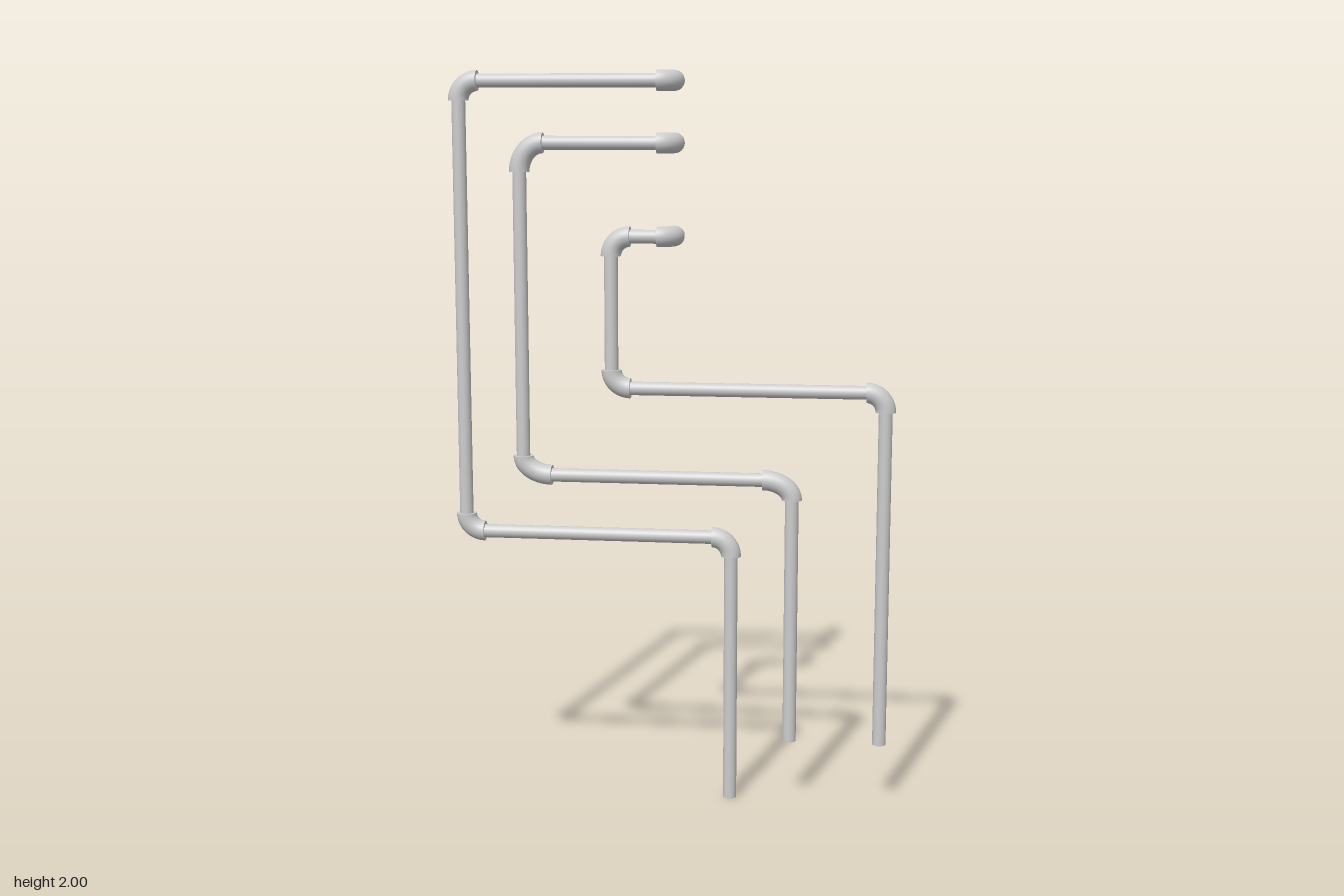
import * as THREE from 'three';

const PIPE_R = 0.0185, ELBOW_R = 0.0275, Z = 0.04, BACK = -0.072;
const material = new THREE.MeshStandardMaterial({ color: 0xcccccc });

function addMesh(group, geometry, name) {
  const mesh = new THREE.Mesh(geometry, material);
  mesh.name = name;
  group.add(mesh);
  return mesh;
}

// Straight capped pipe between two points
function addPipe(group, a, b) {
  const dir = b.clone().sub(a);
  const mesh = addMesh(group, new THREE.CylinderGeometry(PIPE_R, PIPE_R, dir.length(), 24), 'pipe');
  mesh.position.copy(a).add(b).multiplyScalar(0.5);
  mesh.quaternion.setFromUnitVectors(new THREE.Vector3(0, 1, 0), dir.normalize());
}

// Flat end of an elbow socket, facing along dir
function addCap(group, point, dir) {
  const cap = addMesh(group, new THREE.CircleGeometry(ELBOW_R, 24), 'elbowEnd');
  cap.position.copy(point);
  cap.quaternion.setFromUnitVectors(new THREE.Vector3(0, 0, 1), dir);
}

// Quarter bend: start and end lie on the two legs meeting at corner
function addElbow(group, start, corner, end) {
  const k = 0.5523; // circular arc handle length
  const path = new THREE.CubicBezierCurve3(
    start, start.clone().lerp(corner, k), end.clone().lerp(corner, k), end);
  const elbow = new THREE.Group();
  elbow.name = 'elbow';
  addMesh(elbow, new THREE.TubeGeometry(path, 16, ELBOW_R, 24), 'elbowBend');
  addCap(elbow, start, start.clone().sub(corner).normalize());
  addCap(elbow, end, end.clone().sub(corner).normalize());
  group.add(elbow);
}

// One run: back stub, across, down, across, down.
// legs holds the horizontal and vertical reach of each of the three flat elbows
function makeRun(name, { top, left, mid, right, bottom, legs }) {
  const group = new THREE.Group();
  group.name = name;
  const corners = [[0, top, BACK], [0, top, Z], [left, top, Z], [left, mid, Z], [right, mid, Z], [right, bottom, Z]]
    .map((p) => new THREE.Vector3(...p));
  const toward = (from, to, d) => from.clone().add(to.clone().sub(from).setLength(d));
  let from = corners[0];
  for (let i = 1; i < corners.length - 1; i++) {
    const corner = corners[i];
    // order of reach: incoming leg, outgoing leg
    const [h, v] = i === 1 ? [0.042, 0.042] : legs[i - 2];
    const [inLeg, outLeg] = i === 3 ? [v, h] : [h, v];
    const start = toward(corner, corners[i - 1], inLeg);
    const end = toward(corner, corners[i + 1], outLeg);
    addPipe(group, from, start);
    addElbow(group, start, corner, end);
    from = end;
  }
  addPipe(group, from, corners[corners.length - 1]);
  return group;
}

export function createModel() {
  const model = new THREE.Group();
  model.name = 'pipework';
  const even = [[0.052, 0.052], [0.052, 0.05], [0.052, 0.052]];
  model.add(
    makeRun('outerRun', { top: 1.973, left: -0.577, mid: 0.745, right: 0.161, bottom: 0, legs: even }),
    makeRun('middleRun', {
      top: 1.81, left: -0.414, mid: 0.908, right: 0.326, bottom: 0.172,
      legs: [[0.065, 0.077], [0.08, 0.053], [0.08, 0.053]],
    }),
    makeRun('innerRun', { top: 1.563, left: -0.167, mid: 1.153, right: 0.574, bottom: 0.172, legs: even }),
  );
  return model;
}
